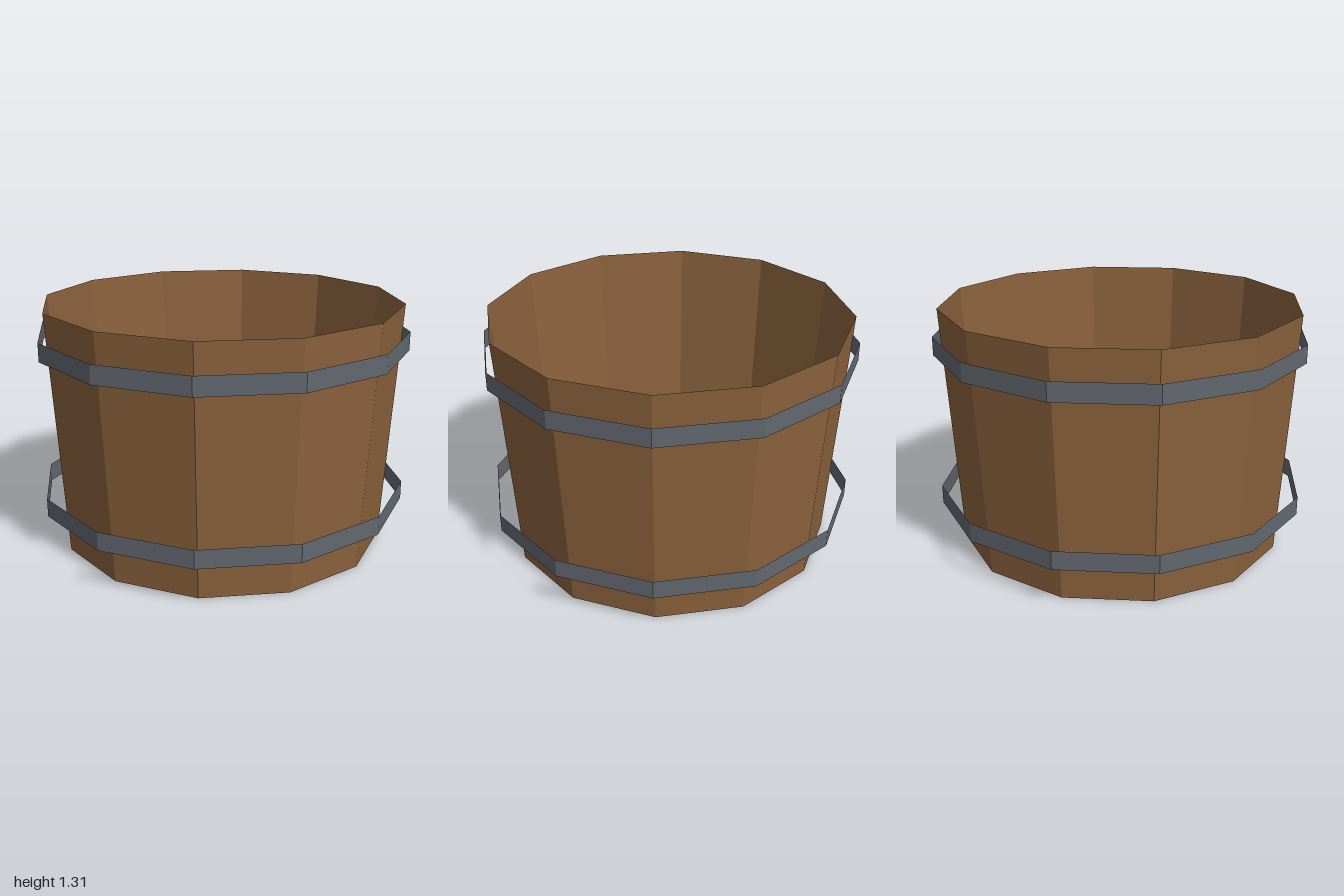
import * as THREE from 'three';

const SIDES = 12;

function flatMaterial(name, color) {
  const m = new THREE.MeshStandardMaterial({ color, flatShading: true, side: THREE.DoubleSide });
  m.name = name;
  return m;
}

// Open faceted ring between two heights
function ring(name, rTop, rBottom, y0, y1, material) {
  const geo = new THREE.CylinderGeometry(rTop, rBottom, y1 - y0, SIDES, 1, true);
  geo.translate(0, (y0 + y1) / 2, 0);
  const mesh = new THREE.Mesh(geo, material);
  mesh.name = name;
  return mesh;
}

export function createModel() {
  const wood = flatMaterial('wood', 0x8b623d);
  const darkWood = flatMaterial('dark wood', 0x5d4339);
  const iron = flatMaterial('iron', 0x62676f);

  const bucket = new THREE.Group();
  bucket.name = 'bucket';

  // Tapered wall
  bucket.add(ring('wall', 0.967, 0.885, 0, 1.308, wood));

  // Floor disc
  const floor = new THREE.Mesh(new THREE.CircleGeometry(0.885, SIDES).rotateX(-Math.PI / 2), darkWood);
  floor.name = 'floor';
  bucket.add(floor);

  // Straight hoops standing clear of the wall
  bucket.add(ring('lowerHoop', 1, 1, 0.215, 0.315, iron));
  bucket.add(ring('upperHoop', 1, 1, 1.06, 1.16, iron));

  return bucket;
}
